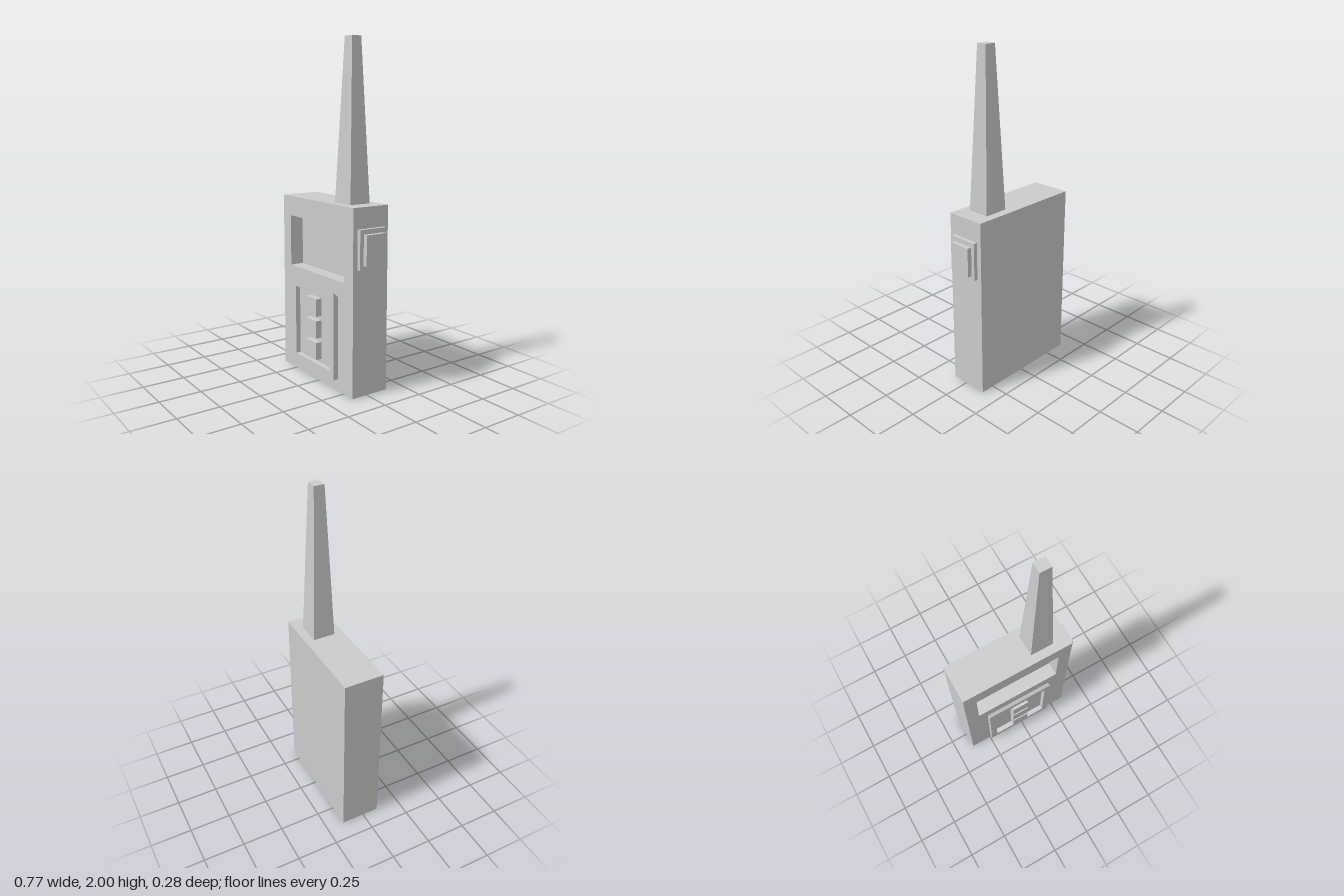
import * as THREE from 'three';
import { mergeGeometries } from 'three/addons/utils/BufferGeometryUtils.js';

const grey = new THREE.MeshStandardMaterial({ color: 0xcccccc, flatShading: true });

function part(name, geometry) {
  const mesh = new THREE.Mesh(geometry, grey);
  mesh.name = name;
  return mesh;
}

// Box given by its lower and upper bounds on each axis
function boxGeo(x0, x1, y0, y1, z0, z1) {
  return new THREE.BoxGeometry(x1 - x0, y1 - y0, z1 - z0)
    .translate((x0 + x1) / 2, (y0 + y1) / 2, (z0 + z1) / 2);
}

// Box with its +z face left out; inward turns the faces to the inside
function openBox(bounds, inward = false) {
  const geo = boxGeo(...bounds);
  const index = Array.from(geo.index.array).filter((_, i) => i < 24 || i >= 30);
  geo.setIndex(inward ? index.reverse() : index);
  geo.clearGroups();
  geo.computeVertexNormals();
  return geo;
}

function rectPath(PathClass, x0, x1, y0, y1) {
  return new PathClass([[x0, y0], [x1, y0], [x1, y1], [x0, y1]].map(p => new THREE.Vector2(...p)));
}

function framedRect(outer, inner) {
  const shape = rectPath(THREE.Shape, ...outer);
  shape.holes.push(rectPath(THREE.Path, ...inner));
  return shape;
}

export function createModel() {
  const model = new THREE.Group();
  model.name = 'handheldRadio';

  // Body: one closed shell with a sunken screen
  const front = 0.1;
  const outer = [-0.385, 0.335, 0, 1.08];
  const screen = [-0.305, 0.25, 0.65, 0.96];
  model.add(part('body', mergeGeometries([
    openBox([...outer, -0.14, front]),
    new THREE.ShapeGeometry(framedRect(outer, screen)).translate(0, 0, front),
    openBox([...screen, 0.015, front], true),
  ])));

  // Keypad frame, its top edge undercut towards the body
  const frame = new THREE.ExtrudeGeometry(
    framedRect([-0.247, 0.194, 0.07, 0.585], [-0.205, 0.155, 0.115, 0.54]),
    { depth: 0.03, bevelEnabled: false });
  const pos = frame.attributes.position;
  for (let i = 0; i < pos.count; i++) {
    if (pos.getY(i) > 0.57 && pos.getZ(i) < 0.01) pos.setY(i, 0.555);
  }
  frame.translate(0, 0, front);
  frame.computeVertexNormals();
  model.add(part('keypadFrame', frame));

  // Three keys in a column
  for (let i = 0; i < 3; i++) {
    const y = 0.142 + i * 0.132;
    model.add(part('key' + (i + 1), boxGeo(-0.08, 0.028, y, y + 0.104, front - 0.005, 0.14)));
  }

  // Stepped button on the left side
  model.add(part('sideButtonBase', boxGeo(0.33, 0.358, 0.735, 0.96, -0.11, 0.07)));
  model.add(part('sideButton', boxGeo(0.353, 0.385, 0.76, 0.933, -0.088, 0.046)));

  // Square antenna, narrowing to the tip
  const antenna = boxGeo(-0.074, 0.074, 1.08, 2, -0.067, 0.067);
  const ap = antenna.attributes.position;
  for (let i = 0; i < ap.count; i++) {
    if (ap.getY(i) > 1.5) ap.setXYZ(i, ap.getX(i) * 0.46, 2, ap.getZ(i) * 0.46);
  }
  antenna.translate(0.162, 0, -0.021);
  antenna.computeVertexNormals();
  model.add(part('antenna', antenna));

  return model;
}
